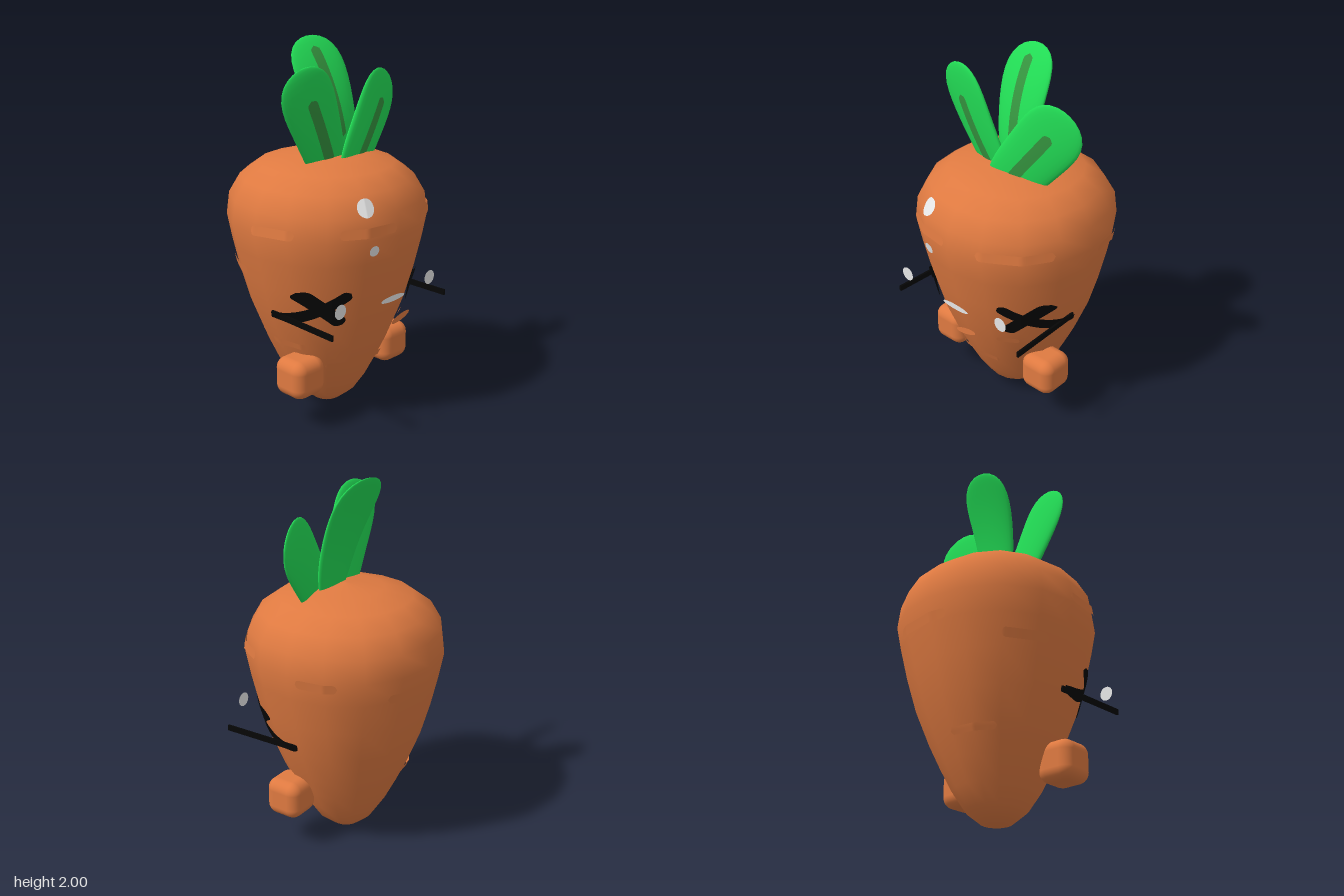
import * as THREE from 'three';
import { RoundedBoxGeometry } from 'three/addons/geometries/RoundedBoxGeometry.js';

const mat = (name, color, side = THREE.FrontSide) => {
  const m = new THREE.MeshStandardMaterial({ color, side });
  m.name = name;
  return m;
};

// Body profile: [radius, height]
const PROFILE = [
  [0, 0], [0.08, 0.018], [0.155, 0.08], [0.22, 0.18], [0.28, 0.3], [0.335, 0.42],
  [0.405, 0.6], [0.455, 0.78], [0.493, 0.95], [0.517, 1.08], [0.502, 1.2],
  [0.445, 1.3], [0.35, 1.37], [0.2, 1.41], [0, 1.43],
];
const SIDES = 16;

function radiusAt(y) {
  for (let i = 1; i < PROFILE.length; i++) {
    const [r0, y0] = PROFILE[i - 1], [r1, y1] = PROFILE[i];
    if (y <= y1) return r0 + (r1 - r0) * (y - y0) / (y1 - y0);
  }
  return 0;
}

// The body is slightly squarish: fuller on the diagonals
const fullness = (a) => 1 + 0.028 * Math.sin(2 * a) ** 2;

// Radius of the faceted body in direction a
function facetRadius(a, y) {
  const step = 2 * Math.PI / SIDES;
  const d = a - Math.floor(a / step) * step - step / 2;
  return radiusAt(y) * fullness(a) * Math.cos(step / 2) / Math.cos(d);
}

function makeBody() {
  const geo = new THREE.LatheGeometry(PROFILE.map(([r, y]) => new THREE.Vector2(r, y)), SIDES);
  const p = geo.attributes.position;
  for (let i = 0; i < p.count; i++) {
    const f = fullness(Math.atan2(p.getX(i), p.getZ(i)));
    p.setXYZ(i, p.getX(i) * f, p.getY(i), p.getZ(i) * f);
  }
  return geo;
}

function moveVertices(geo, rule) {
  const p = geo.attributes.position;
  for (let i = 0; i < p.count; i++) p.setXYZ(i, ...rule(p.getX(i), p.getY(i), p.getZ(i)));
  geo.computeVertexNormals();
  return geo;
}

// Flat strip with rounded ends; end = w / 2 gives an ellipse, end = h / 2 a capsule
function strip(w, h, tilt, end = h / 2) {
  const c = Math.cos(tilt), s = Math.sin(tilt);
  return moveVertices(new THREE.PlaneGeometry(w, h, 28, 4), (x, y) => {
    const over = Math.max(0, (Math.abs(x) - (w / 2 - end)) / end);
    const v = y * Math.sqrt(Math.max(0, 1 - over * over));
    return [x * c - v * s, x * s + v * c, 0];
  });
}

// Wrap a strip around the body at direction a and height y0
function wrapped(a, y0, w, h, tilt = 0) {
  return moveVertices(strip(w, h, tilt), (x, y) => {
    const t = a + x / radiusAt(y0), r = facetRadius(t, y0 + y) + 0.01;
    return [r * Math.sin(t), y0 + y, r * Math.cos(t)];
  });
}

// Press a strip straight back onto the front of the body
function pressed(x0, y0, w, h, tilt) {
  return moveVertices(strip(w, h, tilt), (x, y) => {
    const r = radiusAt(y0 + y) * 1.025 + 0.008;
    const px = THREE.MathUtils.clamp(x0 + x, -r * 0.998, r * 0.998);
    return [px, y0 + y, Math.sqrt(r * r - px * px)];
  });
}

// Curved, tapered leaf with a vein on its front
function makeLeaf({ name, base, tip, face, width, taper, bend, vein }, leafMat, veinMat) {
  const b = new THREE.Vector3(...base);
  const up = new THREE.Vector3(...tip).sub(b);
  const len = up.length();
  up.normalize();
  const side = new THREE.Vector3().crossVectors(up, new THREE.Vector3(...face)).normalize();
  const out = new THREE.Vector3().crossVectors(side, up);
  const half = (y) => width * (1 + taper * y) * Math.sqrt(1 + y * y);
  const place = (x, y, z) => {
    const t = (y + 1) / 2;
    return b.clone().addScaledVector(up, len * t)
      .addScaledVector(side, x * half(y))
      .addScaledVector(out, z + bend * 4 * t * (1 - t)).toArray();
  };
  const thick = 0.032;
  const g = new THREE.Group();
  g.name = name;
  const blade = new THREE.Mesh(
    moveVertices(new THREE.SphereGeometry(1, 28, 20), (x, y, z) => place(x, y, z * thick)), leafMat);
  blade.name = 'leafBlade';
  const [t0, t1] = vein;
  const line = moveVertices(strip(len * (t1 - t0), 0.06, Math.PI / 2), (x, y) => {
    const v = 2 * (y / len + (t0 + t1) / 2) - 1;
    const u = x / half(v);
    return place(u, v, thick * Math.sqrt(Math.max(0, 1 - v * v - u * u)) + 0.004);
  });
  const veinMesh = new THREE.Mesh(line, veinMat);
  veinMesh.name = 'leafVein';
  g.add(blade, veinMesh);
  return g;
}

export function createModel() {
  const orange = mat('carrot orange', 0xdf7a41, THREE.DoubleSide);
  const green = mat('leaf green', 0x22dc55);
  const veinGreen = mat('vein green', 0x35943f, THREE.DoubleSide);
  const black = mat('eye black', 0x060606, THREE.DoubleSide);
  const white = mat('pale white', 0xeeeeee, THREE.DoubleSide);

  const model = new THREE.Group();
  model.name = 'carrot';
  const add = (name, geo, material) => {
    const m = new THREE.Mesh(geo, material);
    m.name = name;
    model.add(m);
    return m;
  };

  // Root
  add('body', makeBody(), orange);

  // Raised wrinkles: direction, height, length, tilt
  [
    [-0.36, 1.125, 0.32, 0], [0.72, 1.125, 0.4, 0], [-1.35, 1.11, 0.26, 0.05],
    [1.88, 1.055, 0.22, 0], [2.97, 0.975, 0.37, 0], [-2.1, 0.84, 0.25, 0],
    [-1.4, 0.45, 0.22, 0], [-2.77, 0.41, 0.24, 0],
    [0.62, 0.535, 0.12, 0], [-0.48, 0.33, 0.2, 0], [0.23, 0.33, 0.12, 0],
  ].forEach(([a, y, w, tilt]) => add('wrinkle', wrapped(a, y, w, y > 0.8 ? 0.05 : 0.036, tilt), orange));

  // Shine spots
  add('largeShine', wrapped(-0.39, 1.245, 0.09, 0.086), white);
  add('smallShine', wrapped(-0.315, 1.025, 0.058, 0.056), white);

  // Flat mouth and tongue in front of the face
  add('mouth', strip(0.18, 0.032, 0, 0.09), white).position.set(0.003, 0.725, 0.475);
  add('tongue', strip(0.14, 0.036, 0.24, 0.07), orange).position.set(0.07, 0.6, 0.47);

  // Crossed eyes, side rods and feet
  for (const s of [1, -1]) {
    for (const tilt of [0.77, -0.77]) add('eyeBar', pressed(s * 0.337, 0.71, 0.265, 0.06, tilt), black);
    const rod = add('eyeRod', new THREE.BoxGeometry(0.012, 0.03, 0.45), black);
    rod.position.set(s * 0.425, 0.635, 0.245);
    rod.rotation.y = s * 0.03;
    const foot = add('foot', new RoundedBoxGeometry(0.208, 0.21, 0.208, 4, 0.06), orange);
    foot.position.set(s * 0.33, 0.29, 0.13);
  }

  // Eye glints
  for (const x of [-0.37, 0.307]) {
    add('eyeGlint', new THREE.CircleGeometry(0.039, 20), white).position.set(x, 0.755, 0.462);
  }

  // Leaves
  [
    { name: 'backLeaf', base: [0.06, 1.3, 0.06], tip: [0.0, 2.0, -0.15], face: [-0.08, 0, 1], width: 0.147, taper: 0.3, bend: 0.055, vein: [0.25, 0.92] },
    { name: 'rightLeaf', base: [-0.01, 1.25, 0.06], tip: [-0.315, 1.89, 0.12], face: [-0.22, 0, 1], width: 0.14, taper: 0.28, bend: 0.012, vein: [0.22, 0.77] },
    { name: 'leftLeaf', base: [-0.015, 1.25, 0.14], tip: [0.395, 1.79, 0.06], face: [0.24, 0, 0.97], width: 0.158, taper: 0.15, bend: 0, vein: [0.25, 0.78] },
  ].forEach((leaf) => model.add(makeLeaf(leaf, green, veinGreen)));

  return model;
}
